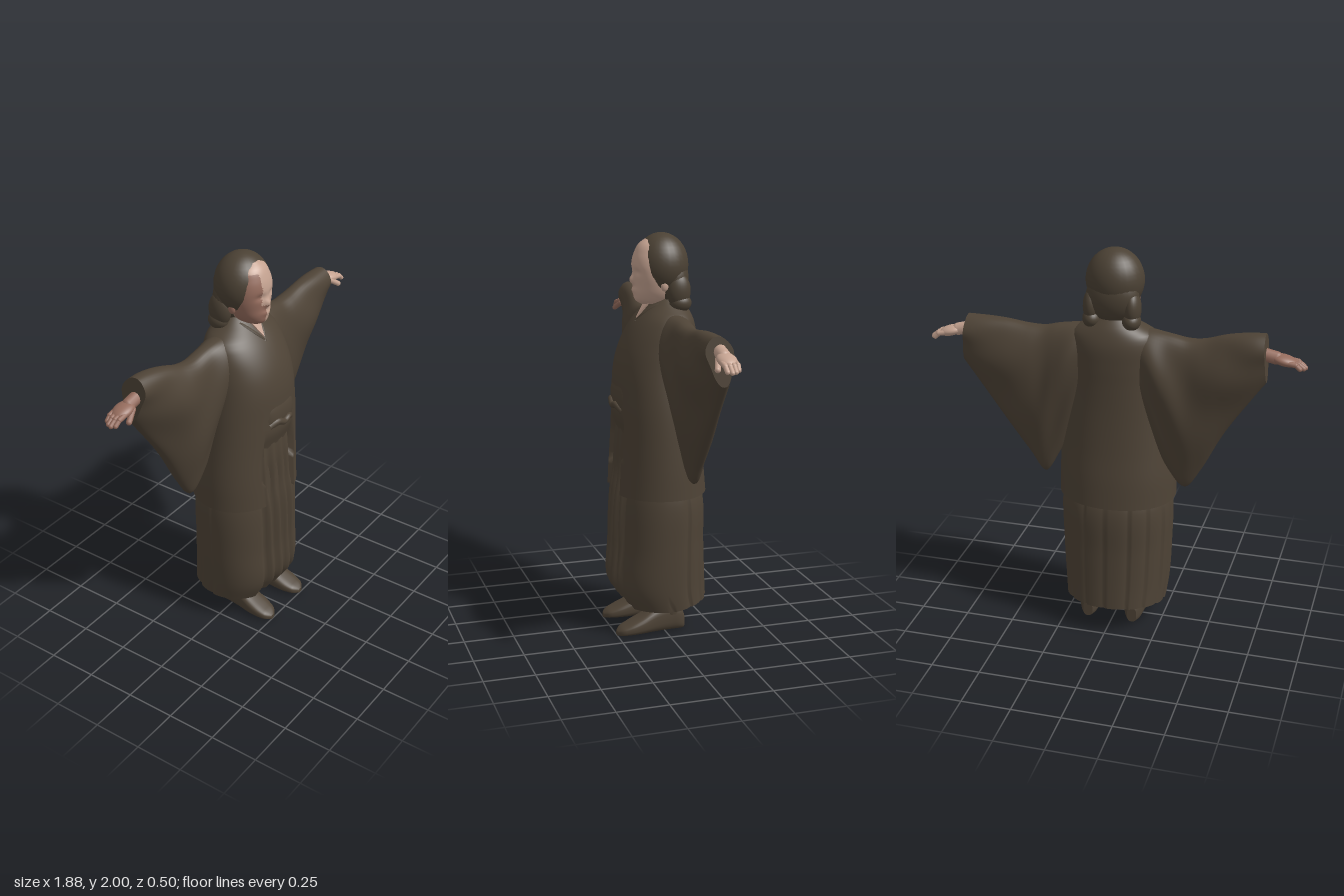
import * as THREE from 'three';

const mat = (name, color, side = THREE.FrontSide) =>
  Object.assign(new THREE.MeshStandardMaterial({ color, side }), { name });

const V = (x, y, z) => new THREE.Vector3(x, y, z);
const spow = (v, p) => Math.sign(v) * Math.abs(v) ** p;
const smooth = THREE.MathUtils.smoothstep;

// Skin through cross-sections: rows are [station, ...sizes], smoothly interpolated.
// point(station, sizes, angle) gives a surface point; pick(centre) chooses a second material.
function loft(rows, nRings, nSeg, point, { capStart = true, pick } = {}) {
  const size = rows[0].length - 1;
  const spline = new THREE.CubicInterpolant(rows.map(r => r[0]), rows.flatMap(r => r.slice(1)), size);
  const s0 = rows[0][0], s1 = rows[rows.length - 1][0];
  const pts = [], tris = [];
  for (let i = 0; i <= nRings; i++) {
    const s = s0 + (s1 - s0) * i / nRings;
    const v = Array.from(spline.evaluate(s));
    for (let j = 0; j < nSeg; j++) pts.push(point(s, v, j / nSeg * Math.PI * 2));
  }
  for (let i = 0; i < nRings; i++) for (let j = 0; j < nSeg; j++) {
    const a = i * nSeg + j, b = i * nSeg + (j + 1) % nSeg;
    tris.push([a, b, a + nSeg], [b, b + nSeg, a + nSeg]);
  }
  // Caps have their own corners, so their rims stay sharp
  const cap = (ring, flip) => {
    const rim = pts.slice(ring * nSeg, (ring + 1) * nSeg), start = pts.length, c = V(0, 0, 0);
    rim.forEach(p => { c.addScaledVector(p, 1 / nSeg); pts.push(p.clone()); });
    const k = pts.push(c) - 1;
    for (let j = 0; j < nSeg; j++) {
      const a = start + j, b = start + (j + 1) % nSeg;
      tris.push(flip ? [k, b, a] : [k, a, b]);
    }
  };
  if (capStart) cap(0, true);
  cap(nRings, false);
  // Turn every face outward
  let volume = 0;
  for (const [a, b, c] of tris) volume += pts[a].dot(V(0, 0, 0).crossVectors(pts[b], pts[c]));
  if (volume < 0) tris.forEach(t => t.reverse());
  const second = t => pick && pick(V(0, 0, 0).add(pts[t[0]]).add(pts[t[1]]).add(pts[t[2]]).divideScalar(3));
  const base = tris.filter(t => !second(t)), other = tris.filter(t => second(t));
  const g = new THREE.BufferGeometry().setFromPoints(pts);
  g.setIndex([...base, ...other].flat());
  if (pick) {
    g.addGroup(0, base.length * 3, 0);
    g.addGroup(base.length * 3, other.length * 3, 1);
  }
  g.computeVertexNormals();
  return g;
}

// Horizontal oval with sizes [halfWidth, frontZ, backZ]
const oval = (y, [w, zf, zb], t, p = 1) =>
  V(w * spow(Math.sin(t), p), y, (zf + zb) / 2 + (zf - zb) / 2 * spow(Math.cos(t), p));

export function createModel() {
  const model = new THREE.Group();
  model.name = 'robedFigure';
  const cloth = mat('darkBrownCloth', 0x4e4336, THREE.DoubleSide);
  const hairMat = mat('darkBrownHair', 0x4b4134);
  const skin = mat('paleSkin', 0xc5a391);
  const redSkin = mat('reddishSkin', 0x956c5d);

  const add = (name, geo, material, parent = model) => {
    const m = new THREE.Mesh(geo, material);
    m.name = name;
    parent.add(m);
    return m;
  };
  const blob = (name, material, c, r, parent) => {
    const m = add(name, new THREE.SphereGeometry(1, 28, 20), material, parent);
    m.position.set(...c);
    m.scale.set(...r);
    return m;
  };
  const limb = (name, material, a, b, r, parent) => {
    const d = b.clone().sub(a);
    const m = add(name, new THREE.CapsuleGeometry(r, d.length(), 6, 12), material, parent);
    m.position.copy(a).add(b).multiplyScalar(0.5);
    m.quaternion.setFromUnitVectors(V(0, 1, 0), d.normalize());
    return m;
  };

  // Coat, with the front hanging open below the sash
  add('coat', loft([
    [0.72, 0.296, 0.235, -0.245], [0.85, 0.294, 0.228, -0.232], [1.0, 0.285, 0.22, -0.212],
    [1.2, 0.268, 0.214, -0.195], [1.35, 0.25, 0.205, -0.19], [1.45, 0.24, 0.178, -0.19],
    [1.55, 0.225, 0.125, -0.185], [1.6, 0.2, 0.085, -0.17], [1.64, 0.13, 0.045, -0.15],
    [1.68, 0.07, 0.0, -0.115]], 48, 120, (y, v, t) => {
    const p = oval(y, v, t, 0.95);
    if (p.z > 0 && p.x > -0.125 && p.x < 0.11) p.z -= 0.04 * (1 - smooth(y, 0.98, 1.14));
    p.x -= 0.01 * (1 - smooth(y, 0.8, 1.2));
    return p;
  }), cloth);

  // Pleated skirt: narrow folds in front, broad box pleats behind, open hem
  add('pleatedSkirt', loft([
    [0.13, 0.258, 0.195, -0.25], [0.22, 0.268, 0.238, -0.246], [0.45, 0.28, 0.234, -0.236],
    [0.7, 0.282, 0.222, -0.226], [0.8, 0.265, 0.205, -0.19], [0.95, 0.235, 0.198, -0.16],
    [1.12, 0.215, 0.185, -0.15]], 32, 168, (y, v, t) => {
    const p = oval(y, v, t, 0.92);
    const fade = 1 - smooth(y, 0.75, 1.15);
    const side = Math.abs(p.x);
    if (p.z > 0) {
      p.z -= (0.01 + 0.015 * Math.sin(p.x * 95 + y * 2)) * fade * (1 - smooth(side, 0.12, 0.15));
      p.y += 0.035 * (1 - smooth(side, 0.08, 0.16)) * (1 - smooth(y, 0.13, 0.3));
    } else {
      const k = 1 - 0.04 * fade * ((t * 16 / (2 * Math.PI)) % 1) ** 4;
      p.x *= k;
      p.z *= k;
      p.y += 0.02 * smooth(-p.z, 0, 0.2) * (1 - smooth(y, 0.13, 0.3));
    }
    p.x -= 0.008;
    return p;
  }, { capStart: false }), cloth);

  // Sash and its tied knot
  add('sash', loft([[1.125, 0.112, 0.206, 0.1], [1.15, 0.118, 0.216, 0.1], [1.24, 0.115, 0.217, 0.1],
    [1.27, 0.11, 0.208, 0.1]], 8, 40, (y, v, t) => oval(y, v, t, 0.7)), cloth);
  add('sashKnot', new THREE.TubeGeometry(new THREE.CatmullRomCurve3([
    V(-0.095, 1.165, 0.198), V(-0.05, 1.18, 0.215), V(0, 1.16, 0.222), V(0.04, 1.168, 0.218), V(0.085, 1.14, 0.195)]),
  24, 0.017, 10), cloth);

  for (const s of [1, -1]) {
    const side = s > 0 ? 'left' : 'right';
    const lift = s > 0 ? 0 : 0.05, back = s > 0 ? 0 : -0.03, out = s > 0 ? 0 : 0.03;

    // Hanging sleeve, thick around the arm and thin at the lower fold: [x, top, bottom, z, thickness]
    add(side + 'Sleeve', loft([
      [0.1, 1.62, 1.3, -0.05, 0.09], [0.2, 1.615, 1.08, -0.055, 0.12], [0.28, 1.605, 0.92, -0.06, 0.115],
      [0.345 + out, 1.59, 0.82, -0.062, 0.108], [0.42 + out, 1.59, 0.915, -0.062, 0.106],
      [0.55, 1.605, 1.095, -0.062, 0.098], [0.7, 1.61, 1.305, -0.062, 0.078], [0.755, 1.61, 1.38, -0.06, 0.07]],
    44, 56, (x, [top, bottom, zc, th], t) => {
      const c = Math.cos(t), k = smooth(x, 0.35, 0.75);
      const fold = 1 + 0.06 * Math.sin(x * 24 + c * 5);
      return V(s * (x - 0.012 * k + 0.008 * (1 - c) * k), (top + bottom) / 2 + (top - bottom) / 2 * c + lift * k,
        zc + back * k + 0.015 * (c - 0.5) + th * fold * spow(Math.sin(t), 0.85) * (0.6 + 0.4 * smooth(c, -1, 0.6)));
    }), cloth);

    // Hand with palm down and thumb forward
    const hand = new THREE.Group();
    hand.name = side + 'Hand';
    hand.position.set(s * 0.735, s > 0 ? 1.545 : 1.56, s > 0 ? -0.065 : -0.085);
    hand.rotation.z = s > 0 ? -0.26 : 0.2;
    model.add(hand);
    const tone = s > 0 ? skin : redSkin;
    limb('wrist', tone, V(-s * 0.1, 0, 0), V(s * 0.06, 0, 0), 0.032, hand);
    blob('palm', tone, [s * 0.1, 0, 0], [0.064, 0.026, 0.046], hand);
    for (let i = 0; i < 4; i++) {
      const z = 0.03 - i * 0.02, len = [0.062, 0.072, 0.066, 0.05][i];
      const knuckle = V(s * (0.13 + len * 0.55), 0.002, z);
      limb('finger', tone, V(s * 0.12, 0, z), knuckle, 0.013, hand);
      limb('fingertip', tone, knuckle, V(s * (0.132 + len), -0.012, z * 0.95), 0.0115, hand);
    }
    limb('thumb', tone, V(s * 0.07, -0.008, 0.03), V(s * 0.13, -0.03, 0.05), 0.014, hand);

    // Soft shoe along z: [z, halfWidth, height]
    const footX = s > 0 ? 0.13 : -0.108;
    add(side + 'Shoe', loft([
      [-0.105, 0.025, 0.08], [-0.085, 0.042, 0.12], [-0.03, 0.05, 0.145], [0.05, 0.056, 0.13],
      [0.13, 0.063, 0.088], [0.2, 0.055, 0.055], [0.235, 0.038, 0.038], [0.25, 0.015, 0.024]],
    28, 32, (z, [w, h], t) => V(footX + s * 0.05 * Math.max(z, 0) + w * spow(Math.sin(t), 0.75),
      h * (0.5 + 0.5 * spow(Math.cos(t), 0.7)), z)), cloth);
    const leg = add(side + 'Leg', new THREE.CylinderGeometry(0.08, 0.052, 0.3, 24), cloth);
    leg.position.set(footX, 0.24, -0.035);

    // Gathered hair beside the neck, ear and collar edge
    blob(side + 'HairLock', hairMat, [s * 0.1, 1.725, -0.085], [0.042, 0.085, 0.06]);
    blob(side + 'HairCurl', hairMat, [s * 0.098, 1.665, -0.095], [0.045, 0.045, 0.055]);
    blob(side + 'Ear', s > 0 ? skin : redSkin, [s * 0.106, 1.755, -0.012], [0.014, 0.03, 0.02]);
    add(side + 'Collar', new THREE.TubeGeometry(new THREE.CatmullRomCurve3([
      V(s * 0.02, 1.665, -0.115), V(s * 0.07, 1.665, -0.06), V(s * 0.058, 1.65, 0.01),
      V(s * 0.03, 1.61, 0.068), V(-s * 0.005, 1.565, 0.105)]), 28, 0.01, 8), cloth);
  }

  // Neck and the skin showing in the open collar
  add('neck', loft([[1.56, 0.045, 0.06, -0.09], [1.63, 0.05, 0.035, -0.09], [1.72, 0.058, 0.03, -0.09]],
    8, 32, oval), skin);
  const vee = new THREE.Shape([new THREE.Vector2(-0.045, 0.1), new THREE.Vector2(0, -0.02), new THREE.Vector2(0.045, 0.1)]);
  const chest = add('openCollarSkin', new THREE.ExtrudeGeometry(vee, { depth: 0.008, bevelEnabled: false }), skin);
  chest.position.set(0, 1.602, 0.084);
  chest.rotation.x = -0.62;

  // Face, with a reddish area over its right half
  add('face', loft([
    [1.655, 0.03, 0.075, -0.03], [1.67, 0.055, 0.1, -0.06], [1.7, 0.08, 0.113, -0.08], [1.75, 0.102, 0.113, -0.08],
    [1.8, 0.113, 0.117, -0.08], [1.85, 0.113, 0.119, -0.08], [1.9, 0.102, 0.108, -0.08], [1.95, 0.072, 0.081, -0.06],
    [1.97, 0.04, 0.055, -0.05]],
  40, 72, (y, v, t) => {
    const p = oval(y, v, t);
    const near = (x, yy, rx, ry) => Math.exp(-(((p.x - x) / rx) ** 2) - ((y - yy) / ry) ** 2);
    if (p.z > 0) p.z += 0.02 * near(0, 1.775, 0.016, 0.022) + 0.008 * near(0, 1.725, 0.03, 0.012)
      - 0.01 * (near(0.042, 1.815, 0.025, 0.016) + near(-0.042, 1.815, 0.025, 0.016));
    return p;
  }, { pick: c => c.z > -0.02 && c.x < (c.y > 1.77 ? -0.035 : -0.006) && c.y < 1.93 }), [skin, redSkin]);

  // Hair cap and the mass at the nape
  blob('hairCap', hairMat, [0, 1.845, -0.028], [0.142, 0.155, 0.132]);
  blob('napeHair', hairMat, [0, 1.775, -0.075], [0.13, 0.13, 0.084]);
  return model;
}
